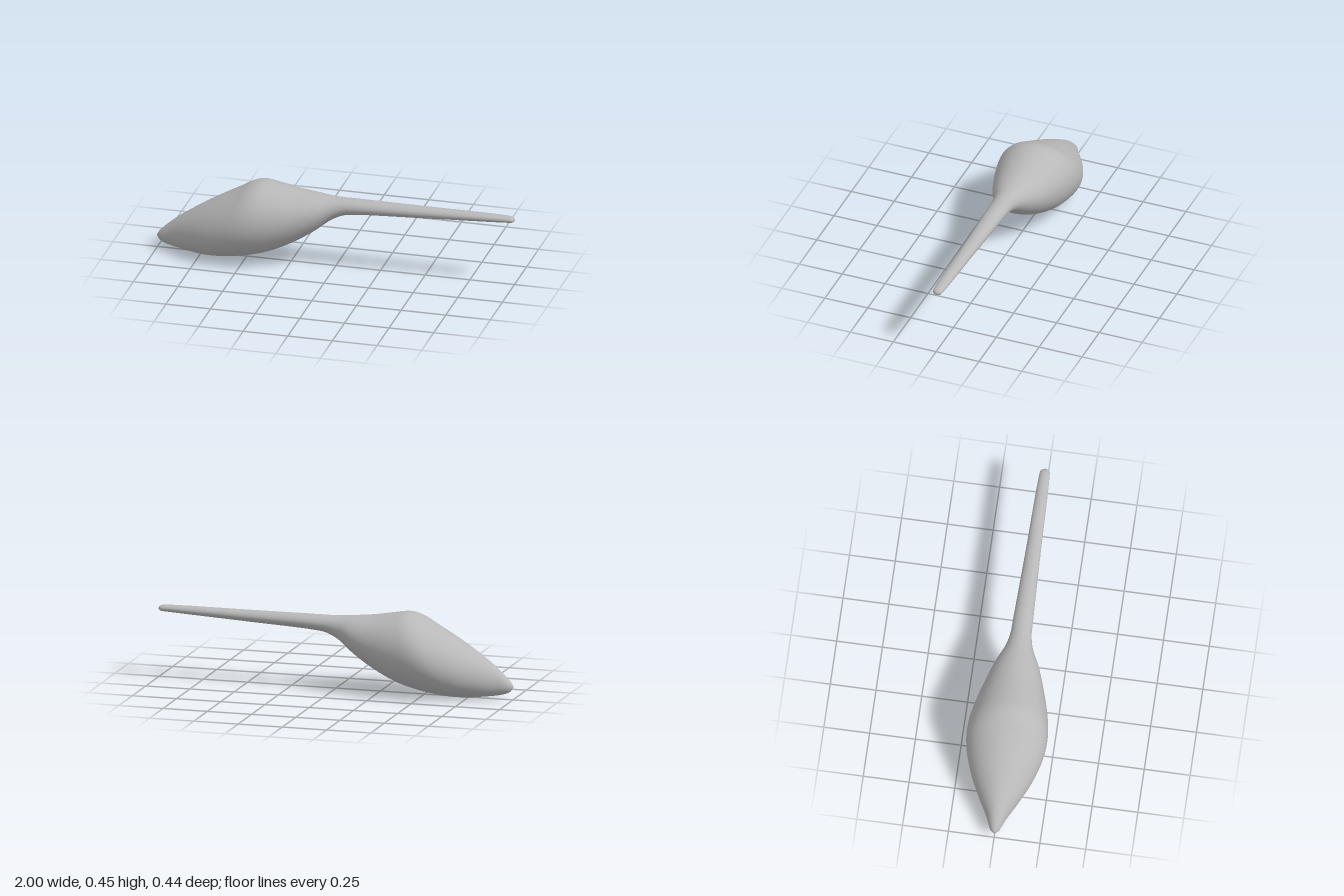
import * as THREE from 'three';

// Cross-sections from bulb tip to handle end: top x, top y, bottom x, bottom y, half width
const SECTIONS = [
  [-1, 0.08, -1, 0.065, 0.007],
  [-0.985, 0.102, -0.98, 0.042, 0.024],
  [-0.9, 0.18, -0.92, 0.023, 0.058],
  [-0.78, 0.262, -0.84, 0.012, 0.115],
  [-0.66, 0.333, -0.74, 0.002, 0.17],
  [-0.54, 0.398, -0.65, 0.004, 0.206],
  [-0.47, 0.437, -0.57, 0.013, 0.219],
  [-0.41, 0.452, -0.49, 0.027, 0.218],
  [-0.33, 0.442, -0.38, 0.056, 0.201],
  [-0.22, 0.423, -0.25, 0.115, 0.166],
  [-0.1, 0.411, -0.12, 0.197, 0.12],
  [-0.02, 0.405, -0.02, 0.275, 0.075],
  [0.05, 0.404, 0.05, 0.308, 0.058],
  [0.12, 0.404, 0.12, 0.319, 0.055],
  [0.5, 0.403, 0.5, 0.34, 0.042],
  [0.95, 0.401, 0.95, 0.364, 0.029],
  [0.988, 0.397, 0.988, 0.367, 0.024],
  [1, 0.387, 1, 0.374, 0.008],
];

// Smooth skin over slightly tilted elliptical rings, closed at both ends
function loftGeometry(sections, steps, sides) {
  const curve = (fn) => new THREE.CatmullRomCurve3(sections.map(fn));
  const upper = curve(([x, y]) => new THREE.Vector3(x, y, 0));
  const lower = curve(([, , x, y]) => new THREE.Vector3(x, y, 0));
  const side = curve(([a, , b, , w]) => new THREE.Vector3((a + b) / 2, w, 0));
  const positions = [];
  const indices = [];

  for (let i = 0; i <= steps; i++) {
    const t = i / steps;
    const top = upper.getPoint(t);
    const bottom = lower.getPoint(t);
    const width = side.getPoint(t).y;
    const centre = top.clone().add(bottom).multiplyScalar(0.5);
    const half = top.clone().sub(centre);
    for (let j = 0; j < sides; j++) {
      const a = (j / sides) * Math.PI * 2;
      const c = Math.cos(a);
      positions.push(centre.x + half.x * c, centre.y + half.y * c, width * Math.sin(a));
    }
  }
  for (let i = 0; i < steps; i++) {
    for (let j = 0; j < sides; j++) {
      const a = i * sides + j;
      const b = i * sides + ((j + 1) % sides);
      indices.push(a, b, a + sides, b, b + sides, a + sides);
    }
  }

  // End caps
  const last = steps * sides;
  const tip = positions.length / 3;
  positions.push(-1, 0.0725, 0, 1, 0.3805, 0);
  for (let j = 0; j < sides; j++) {
    const k = (j + 1) % sides;
    indices.push(tip, k, j, tip + 1, last + j, last + k);
  }

  const geometry = new THREE.BufferGeometry();
  geometry.setAttribute('position', new THREE.Float32BufferAttribute(positions, 3));
  geometry.setIndex(indices);
  geometry.computeVertexNormals();
  return geometry;
}

export function createModel() {
  const grey = new THREE.MeshStandardMaterial({ color: 0xb8b8b8 });
  grey.name = 'plain grey';

  const group = new THREE.Group();
  group.name = 'bulbWithHandle';

  // Bulb flowing into a thin tapering handle
  const body = new THREE.Mesh(loftGeometry(SECTIONS, (SECTIONS.length - 1) * 8, 64), grey);
  body.name = 'bulbAndHandle';
  group.add(body);
  return group;
}
